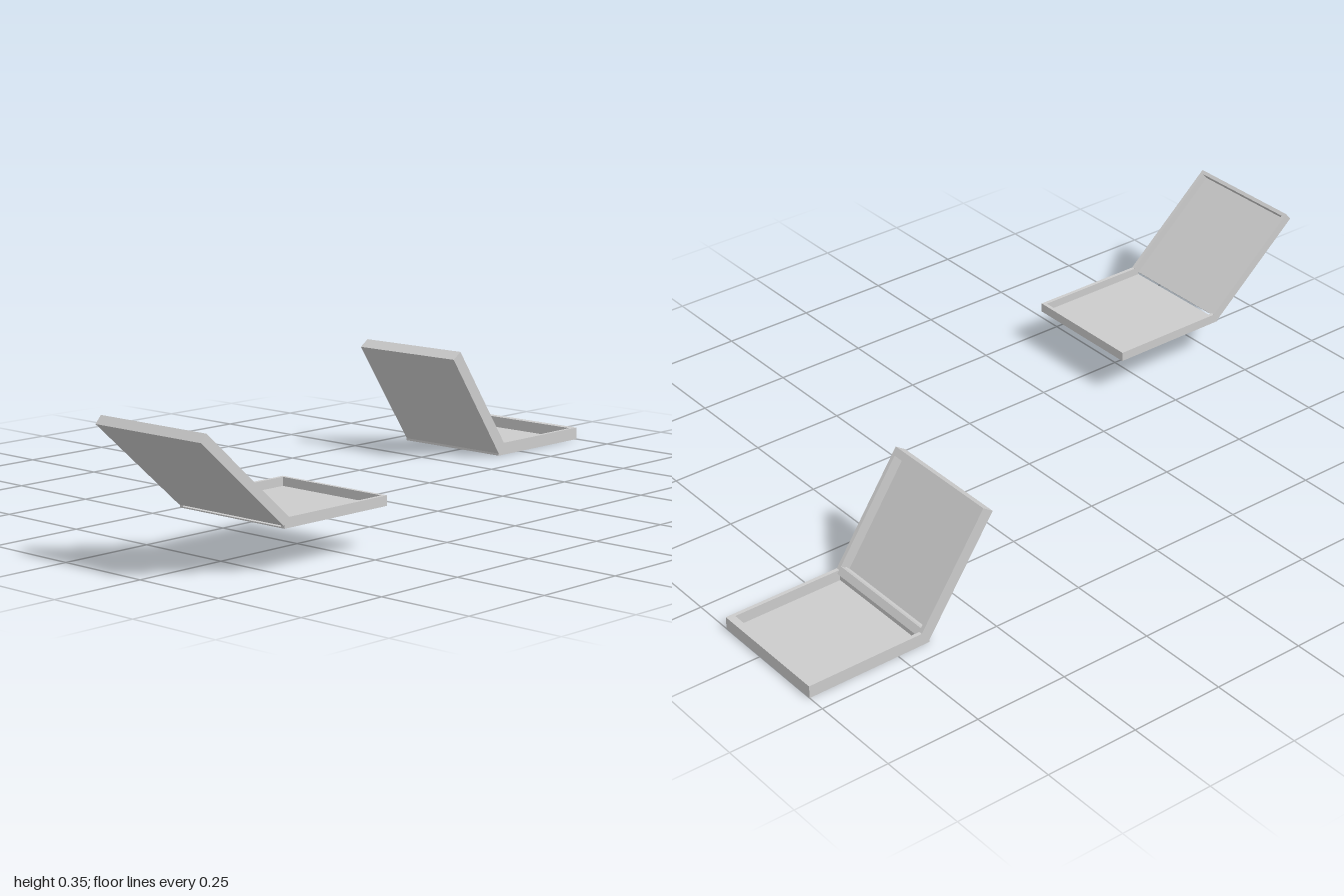
import * as THREE from 'three';

const material = new THREE.MeshStandardMaterial({ color: 0xcccccc, flatShading: true });
const FLOOR = 0.003, SIDE = 0.01;

function box(name, w, h, d, x, y, z) {
  const mesh = new THREE.Mesh(new THREE.BoxGeometry(w, h, d), material);
  mesh.name = name;
  mesh.position.set(x, y, z);
  return mesh;
}

// Shallow tray running along +x from its hinge edge at the origin
function tray(name, length, height, width, endWall, hingeWall) {
  const group = new THREE.Group();
  group.name = name;
  group.add(box('floor', length, FLOOR, width, length / 2, FLOOR / 2, 0));
  const h = height - FLOOR, y = FLOOR + h / 2;
  for (const s of [-1, 1]) {
    group.add(box('sideWall', length, h, SIDE, length / 2, y, s * (width - SIDE) / 2));
  }
  const inner = width - 2 * SIDE;
  group.add(box('endWall', endWall, h, inner, length - endWall / 2, y, 0));
  if (hingeWall) group.add(box('hingeWall', hingeWall, h, inner, hingeWall / 2, y, 0));
  return group;
}

// Open case: flat base plus a lid tilted back about the hinge
function openCase(name, o) {
  const group = new THREE.Group();
  group.name = name;
  const base = tray('base', o.baseLength, o.height, o.width, o.endWall, o.hingeWall);
  base.position.set(...o.base);
  const lid = tray('lid', o.lidLength, o.height, o.width, o.endWall, o.hingeWall);
  lid.rotation.order = 'ZYX';
  lid.rotation.set(0, Math.PI, -THREE.MathUtils.degToRad(o.angle));
  lid.position.set(...o.lid);
  group.add(base, lid);
  return group;
}

export function createModel() {
  const model = new THREE.Group();
  model.name = 'openCases';
  model.add(
    openCase('thinCase', {
      baseLength: 0.34, lidLength: 0.337, height: 0.025, width: 0.34,
      endWall: 0.01, hingeWall: 0, angle: 41.4,
      base: [-0.745, 0.105, 0.28], lid: [-0.747, 0.112, 0.28],
    }),
    openCase('thickCase', {
      baseLength: 0.34, lidLength: 0.34, height: 0.033, width: 0.34,
      endWall: 0.02, hingeWall: 0.02, angle: 56,
      base: [0.66, 0, -0.28], lid: [0.66, 0.006, -0.28],
    }),
  );
  return model;
}
